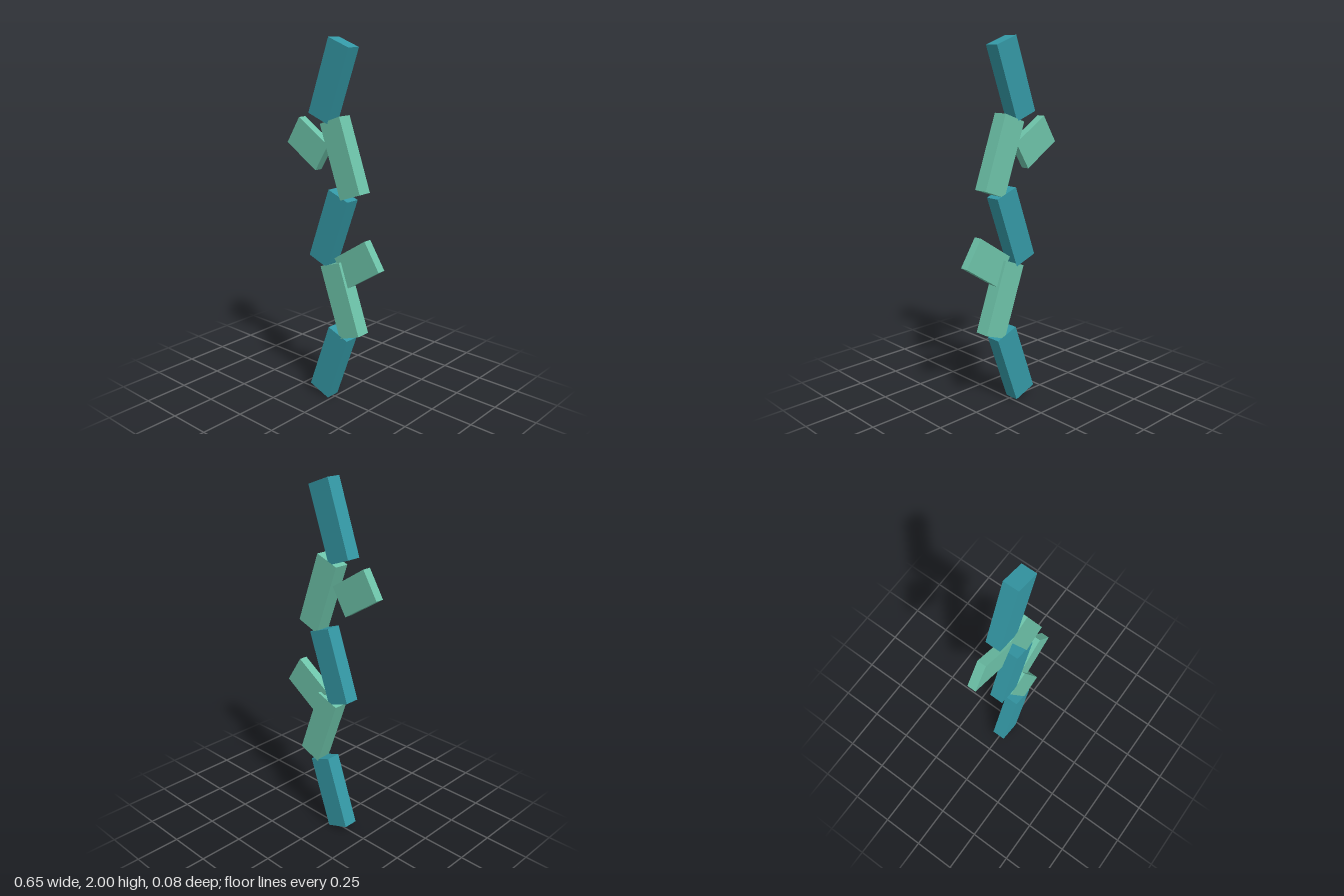
import * as THREE from 'three';

export function createModel() {
  const group = new THREE.Group();
  const teal = new THREE.MeshStandardMaterial({ color: 0x3498a5 });
  teal.name = 'teal';
  const green = new THREE.MeshStandardMaterial({ color: 0x6dc3a9 });
  green.name = 'mint green';

  // Upright slab, tilted in the front plane
  function addSlab(name, material, size, x, y, degrees) {
    const mesh = new THREE.Mesh(new THREE.BoxGeometry(...size), material);
    mesh.name = name;
    mesh.position.set(x, y, 0);
    mesh.rotation.z = THREE.MathUtils.degToRad(degrees);
    group.add(mesh);
  }

  // Zigzag stalk: segments lean right and left in turn
  for (let i = 0; i < 5; i++) {
    const even = i % 2 === 0;
    addSlab('stalkSegment' + (i + 1), even ? teal : green, [0.142, 0.413, 0.082],
      even ? -0.014 : 0.068, 0.219 + i * 0.3905, even ? -20 : 20);
  }

  // Leaves branching from the green segments
  addSlab('lowerLeaf', green, [0.248, 0.178, 0.048], 0.17, 0.834, 33);
  addSlab('upperLeaf', green, [0.246, 0.17, 0.048], -0.178, 1.443, -32);

  return group;
}
